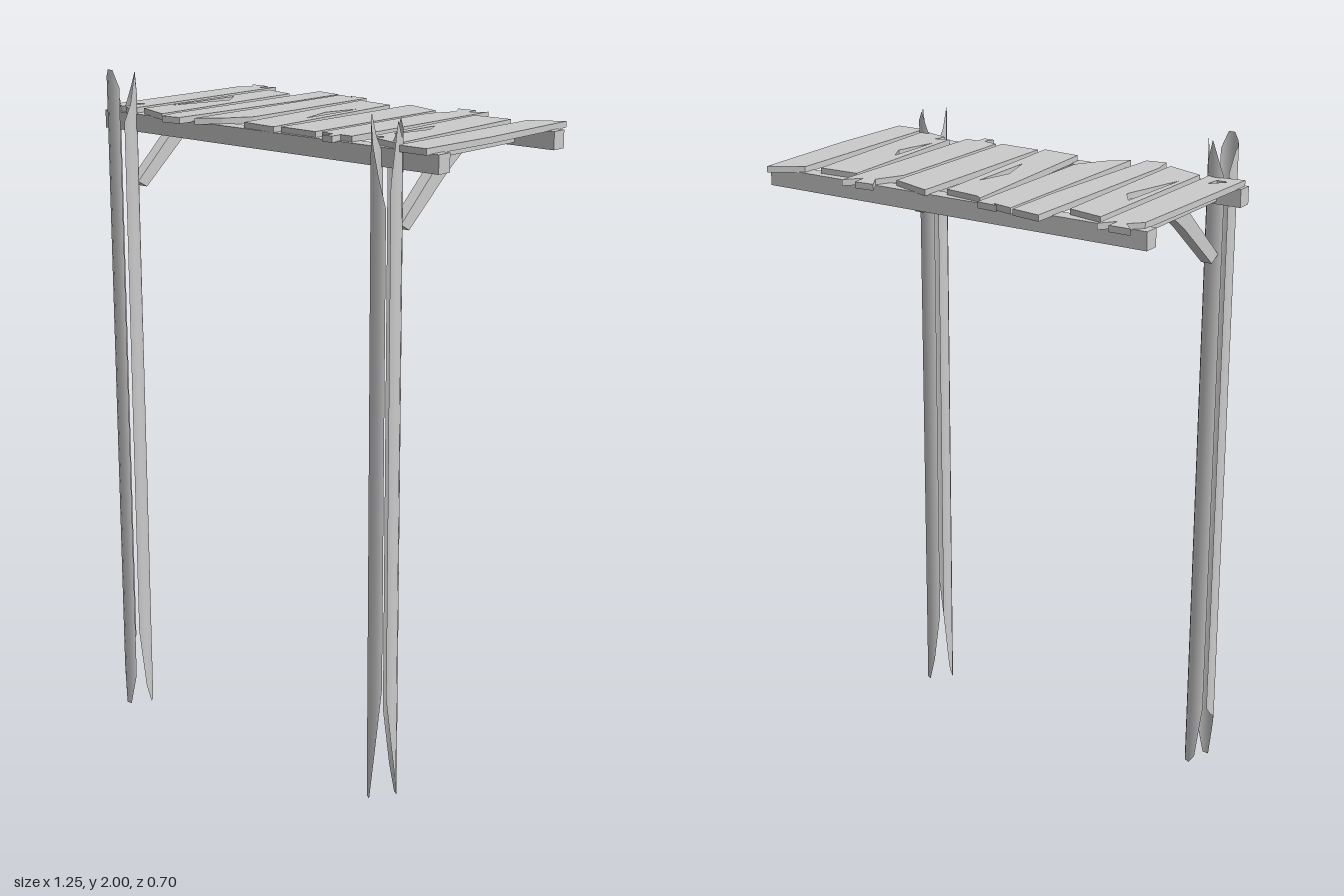
import * as THREE from 'three';

const material = new THREE.MeshStandardMaterial({ color: 0xcccccc, flatShading: true, side: THREE.DoubleSide });
const postMaterial = new THREE.MeshStandardMaterial({ color: 0xcccccc, side: THREE.DoubleSide });

function addMesh(parent, name, geometry, mat = material) {
  const mesh = new THREE.Mesh(geometry, mat);
  mesh.name = name;
  parent.add(mesh);
  return mesh;
}

function outline(points) {
  return new THREE.Shape(points.map(([x, y]) => new THREE.Vector2(x, y)));
}

// Half of a split log: an open shell whose ends are splintered column by column
function logShell(startDegrees, tops, bottoms) {
  const columns = tops.length;
  const geometry = new THREE.CylinderGeometry(0.043, 0.043, 1, columns - 1, 1, true,
    THREE.MathUtils.degToRad(startDegrees), THREE.MathUtils.degToRad(164));
  const position = geometry.attributes.position;
  for (let i = 0; i < position.count; i++) {
    position.setY(i, i < columns ? tops[i] : bottoms[i - columns]);
  }
  return geometry;
}

// Weathered plank, cut from its plan outline in x and z
function plank(points, hole) {
  const shape = outline(points);
  if (hole) shape.holes.push(new THREE.Path(outline(hole).getPoints()));
  const geometry = new THREE.ExtrudeGeometry(shape, { depth: 0.018, bevelEnabled: false });
  geometry.rotateX(Math.PI / 2);
  geometry.translate(0, 1.885, 0);
  return geometry;
}

export function createModel() {
  const model = new THREE.Group();
  model.name = 'woodenAwning';

  // Posts, each split along the diagonal into two shells
  const posts = [
    { name: 'rightPost', x: -0.53,
      back: [[1.85, 1.9, 1.99, 1.93, 1.99, 1.94, 1.88], [0.25, 0.06, 0, 0, 0, 0.03, 0.2]],
      front: [[1.9, 1.96, 1.97, 1.98, 2, 2, 1.95], [0.2, 0.17, 0.16, 0.12, 0, 0, 0.1]] },
    { name: 'leftPost', x: 0.47,
      back: [[1.78, 1.95, 1.9, 1.92, 1.95, 1.9, 1.85], [0.32, 0.15, 0.04, 0, 0, 0.08, 0.25]],
      front: [[1.85, 1.9, 1.96, 1.96, 1.88, 1.8, 1.72], [0.25, 0.05, 0, 0, 0, 0.15, 0.35]] },
  ];
  // Brace outline in z and y
  const braceShape = outline([[0.265, 1.665], [0.23, 1.645], [0.06, 1.785], [-0.02, 1.84], [0.07, 1.84]]);
  for (const { name, x, back, front } of posts) {
    const post = new THREE.Group();
    post.name = name;
    post.position.set(x, 0, 0.305);
    addMesh(post, 'backShell', logShell(53, ...back), postMaterial);
    addMesh(post, 'frontShell', logShell(233, ...front), postMaterial);
    model.add(post);

    // Roof arm and the brace under it
    addMesh(model, 'roofArm', new THREE.BoxGeometry(0.04, 0.036, 0.56)).position.set(x, 1.843, 0);
    const brace = new THREE.ExtrudeGeometry(braceShape, { depth: 0.034, bevelEnabled: false });
    brace.rotateY(-Math.PI / 2);
    addMesh(model, 'brace', brace).position.x = x + 0.017;
  }

  // Long rails at the front and back
  for (const [name, z] of [['frontRail', 0.26], ['backRail', -0.26]]) {
    addMesh(model, name, new THREE.BoxGeometry(1.25, 0.052, 0.048)).position.set(0, 1.843, z);
  }

  // Roof planks with crooked sides, broken ends and a few holes
  const planks = [
    [[[-0.605, -0.26], [-0.57, -0.295], [-0.605, -0.335], [-0.54, -0.335], [-0.54, -0.29], [-0.505, -0.335],
      [-0.505, 0.29], [-0.53, 0.29], [-0.55, 0.27], [-0.615, 0.28], [-0.61, 0]],
    [[-0.585, 0.235], [-0.545, 0.19], [-0.55, 0.235]]],
    [[[-0.48, -0.275], [-0.37, -0.25], [-0.36, 0.31], [-0.48, 0.265]],
      [[-0.455, -0.09], [-0.415, -0.03], [-0.43, 0.03], [-0.465, 0.17]]],
    [[[-0.335, -0.35], [-0.245, -0.335], [-0.245, -0.13], [-0.27, 0.33], [-0.33, 0.34], [-0.345, 0.27]]],
    [[[-0.235, -0.33], [-0.17, -0.315], [-0.19, -0.33], [-0.125, -0.325], [-0.12, 0.18], [-0.17, 0.26],
      [-0.23, 0.31]]],
    [[[-0.11, -0.29], [-0.09, -0.275], [0.02, -0.26], [0.05, 0.285], [-0.07, 0.275]],
      [[0.003, -0.13], [-0.025, -0.02], [0.008, 0.1]]],
    [[[0.065, -0.3], [0.195, -0.255], [0.195, 0.275], [0.065, 0.27]]],
    [[[0.21, -0.2], [0.25, -0.28], [0.22, -0.33], [0.28, -0.335], [0.285, -0.29], [0.325, -0.335],
      [0.32, 0.27], [0.28, 0.27], [0.28, 0.305], [0.245, 0.305], [0.26, 0.275], [0.21, 0.265]]],
    [[[0.335, -0.255], [0.46, -0.26], [0.49, 0.285], [0.39, 0.255], [0.4, 0.22], [0.36, 0.235]],
      [[0.375, -0.02], [0.405, 0.04], [0.375, 0.17]]],
    [[[0.505, -0.275], [0.6, -0.33], [0.61, 0.04], [0.6, 0.305], [0.505, 0.305]]],
  ];
  planks.forEach(([points, hole], i) => addMesh(model, `roofPlank${i + 1}`, plank(points, hole)));

  return model;
}
